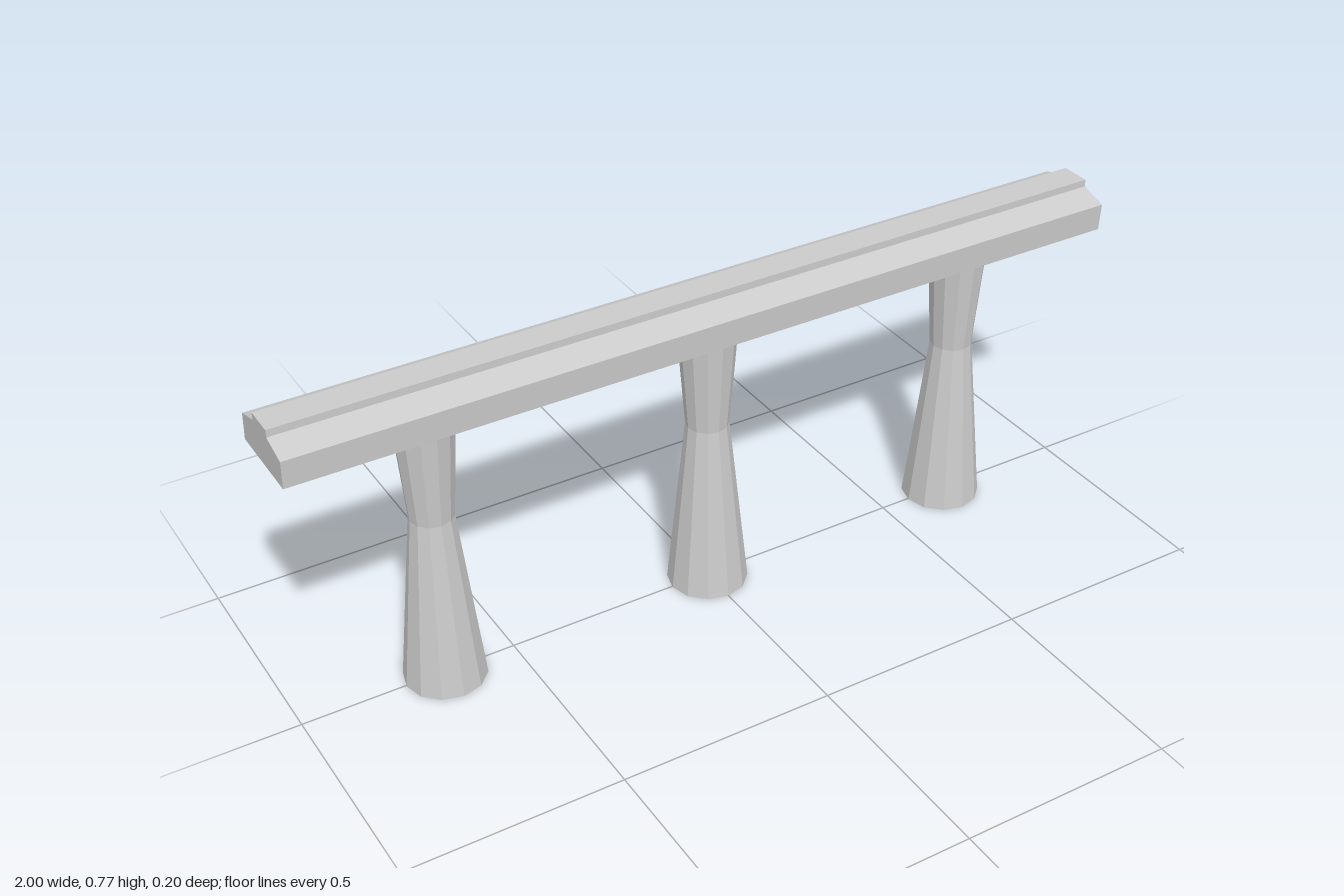
import * as THREE from 'three';

const LENGTH = 2;

export function createModel() {
  const group = new THREE.Group();
  const deckMaterial = new THREE.MeshStandardMaterial({ color: 0xcccccc, flatShading: true });
  const pillarMaterial = new THREE.MeshStandardMaterial({
    color: 0xcccccc, flatShading: true, side: THREE.DoubleSide,
  });

  // Beam: cross-section as (z, y), slightly skewed, with sloped shoulders and a raised rail
  const section = [
    [0.098, 0.668], [-0.102, 0.668], [-0.096, 0.733], [-0.033, 0.752],
    [-0.033, 0.769], [0.038, 0.769], [0.038, 0.752], [0.102, 0.733],
  ];
  const shape = new THREE.Shape(section.map(([z, y]) => new THREE.Vector2(-z, y)));
  const beamGeometry = new THREE.ExtrudeGeometry(shape, { depth: LENGTH, bevelEnabled: false });
  beamGeometry.translate(0, 0, -LENGTH / 2).rotateY(Math.PI / 2);
  const beam = new THREE.Mesh(beamGeometry, deckMaterial);
  beam.name = 'beam';
  group.add(beam);

  // Pillars: open twelve-sided tubes with a narrow waist
  const profile = [[0.093, 0], [0.049, 0.424], [0.067, 0.668]];
  const pillarGeometry = new THREE.LatheGeometry(
    profile.map(([r, y]) => new THREE.Vector2(r, y)), 12);
  ['rightPillar', 'middlePillar', 'leftPillar'].forEach((name, i) => {
    const pillar = new THREE.Mesh(pillarGeometry, pillarMaterial);
    pillar.name = name;
    pillar.position.set((i - 1) * 0.667, 0, 0.003);
    group.add(pillar);
  });

  return group;
}
